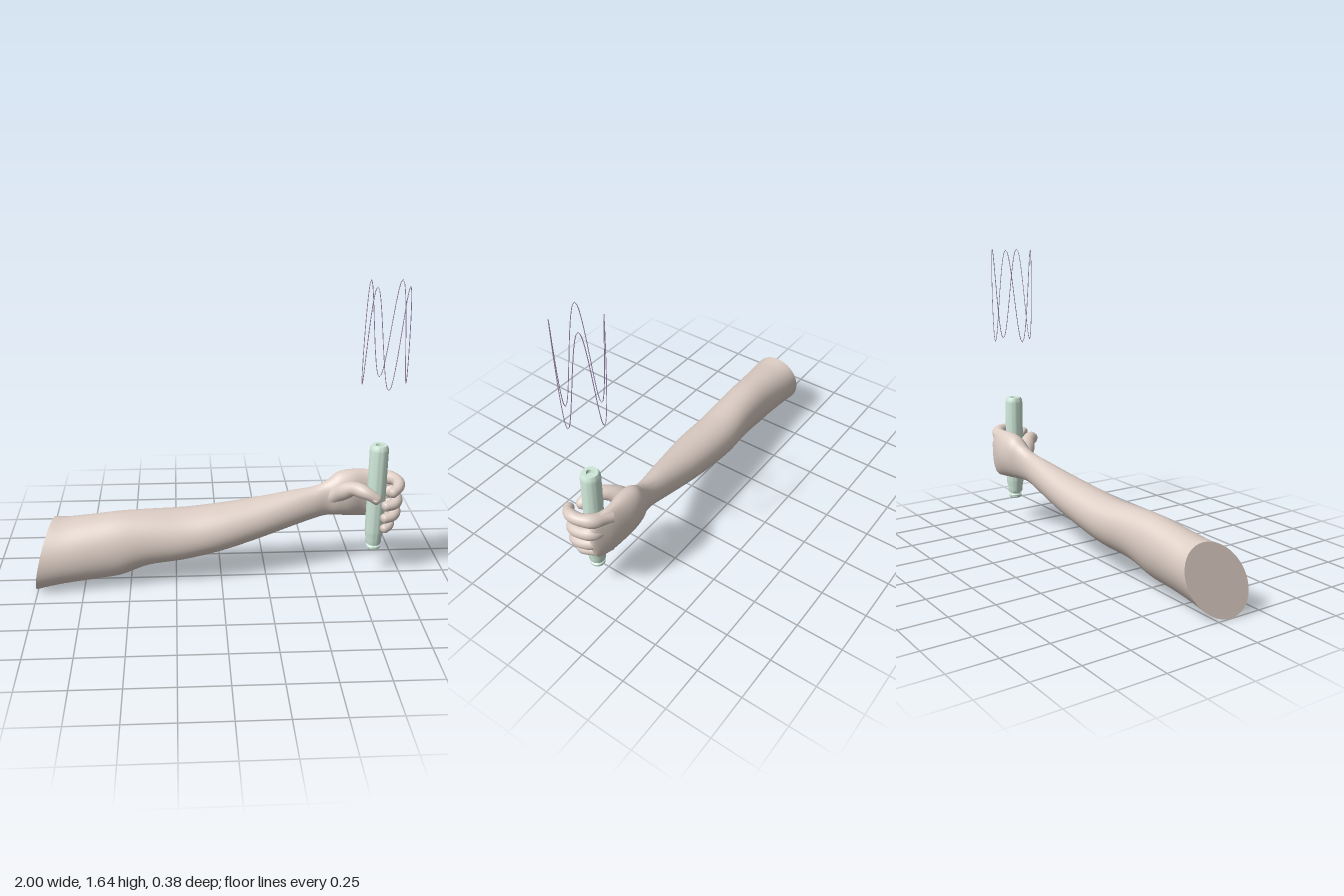
import * as THREE from 'three';
import { mergeVertices, toCreasedNormals } from 'three/addons/utils/BufferGeometryUtils.js';

const skin = new THREE.MeshStandardMaterial({ color: 0xdccdc4 });
const mint = new THREE.MeshStandardMaterial({ color: 0xcfe8d9 });
const wire = new THREE.MeshStandardMaterial({ color: 0xa890b4 });
const AXIS = { x: 0.85, z: -0.022 };
const V = (a) => new THREE.Vector3(...a);

function part(name, geometry, material) {
  const mesh = new THREE.Mesh(geometry, material);
  mesh.name = name;
  return mesh;
}

// Arm and palm cross-sections: x, top y, bottom y, back z, front z
const SECTIONS = [
  [-0.955, 0.37, 0.003, -0.142, 0.187],
  [-0.85, 0.368, 0.028, -0.138, 0.175],
  [-0.7, 0.382, 0.045, -0.13, 0.157],
  [-0.55, 0.398, 0.06, -0.13, 0.142],
  [-0.4, 0.4, 0.108, -0.137, 0.123],
  [-0.2, 0.398, 0.13, -0.16, 0.112],
  [0, 0.415, 0.17, -0.166, 0.095],
  [0.2, 0.441, 0.222, -0.165, 0.055],
  [0.4, 0.475, 0.28, -0.155, 0.005],
  [0.52, 0.495, 0.313, -0.146, -0.027],
  [0.59, 0.525, 0.323, -0.155, -0.043],
  [0.65, 0.568, 0.32, -0.182, -0.035],
  [0.72, 0.582, 0.313, -0.19, -0.035],
  [0.8, 0.582, 0.305, -0.178, -0.058],
  [0.87, 0.578, 0.297, -0.158, -0.066],
  [0.93, 0.565, 0.305, -0.128, -0.066],
  [0.955, 0.5, 0.37, -0.11, -0.08],
];

function armGeometry() {
  const ys = new THREE.CatmullRomCurve3(SECTIONS.map((s) => V([s[0], s[1], s[2]])), false, 'catmullrom', 0.5);
  const zs = new THREE.CatmullRomCurve3(SECTIONS.map((s) => V([s[0], s[3], s[4]])), false, 'catmullrom', 0.5);
  const rows = 80, sides = 40, pos = [], index = [];
  for (let i = 0; i <= rows; i++) {
    const u = i / rows, p = ys.getPoint(u), q = zs.getPoint(u);
    // The cut end slants and the upper arm leans; both fade out along the arm
    const slant = Math.max(0, 1 - u * 10), lean = -0.26 * (1 - u);
    for (let j = 0; j < sides; j++) {
      const t = (j / sides) * Math.PI * 2;
      const sy = Math.sin(t + lean), cz = Math.cos(t);
      pos.push(
        p.x + slant * (0.035 * sy - 0.026 * cz),
        (p.y + p.z) / 2 + ((p.y - p.z) / 2) * sy,
        (q.y + q.z) / 2 + ((q.z - q.y) / 2) * cz
      );
    }
  }
  const start = pos.length / 3, end = start + 1, last = rows * sides;
  pos.push(-0.955, 0.187, 0.022, 0.96, 0.435, -0.095);
  for (let j = 0; j < sides; j++) {
    const k = (j + 1) % sides;
    for (let i = 0; i < rows; i++) {
      const a = i * sides + j, b = i * sides + k;
      index.push(a, a + sides, b, b, a + sides, b + sides);
    }
    index.push(start, j, k, end, last + k, last + j);
  }
  const g = new THREE.BufferGeometry();
  g.setAttribute('position', new THREE.Float32BufferAttribute(pos, 3));
  g.setIndex(index);
  return toCreasedNormals(g, 0.9);
}

// A tapered tube with a rounded tip and slight bulges at the joints
function digitGeometry(curve, r0, r1) {
  const n = 36, m = 16;
  let g = new THREE.TubeGeometry(curve, n, 1, m, false);
  const pos = g.attributes.position, v = new THREE.Vector3();
  const length = curve.getLength();
  for (let i = 0; i <= n; i++) {
    // Rings crowd towards the tip so that it closes roundly
    const c = curve.getPointAt(i / n), u = i / n;
    let r = THREE.MathUtils.lerp(r0, r1, u) * (1 + 0.05 * Math.cos(u * Math.PI * 6));
    const left = (1 - u) * length;
    if (left < r1) r *= Math.sqrt(Math.max(0, 1 - (1 - left / r1) ** 2));
    for (let j = 0; j <= m; j++) {
      const k = i * (m + 1) + j;
      v.fromBufferAttribute(pos, k).sub(c).multiplyScalar(r).add(c);
      pos.setXYZ(k, v.x, v.y, v.z);
    }
  }
  g.deleteAttribute('uv');
  g.deleteAttribute('normal');
  g = mergeVertices(g, 1e-5);
  g.computeVertexNormals();
  return g;
}

function digit(name, points, r0, r1) {
  const group = new THREE.Group();
  group.name = name;
  const curve = new THREE.CatmullRomCurve3(points.map(V));
  group.add(part(name + 'Flesh', digitGeometry(curve, r0, r1), skin));
  // Nail: a flat oval on the side facing away from the handle
  const p = curve.getPointAt(0.9), along = curve.getTangentAt(0.9);
  const out = new THREE.Vector3(p.x - AXIS.x, 0, p.z - AXIS.z);
  out.addScaledVector(along, -out.dot(along)).normalize();
  const nail = part(name + 'Nail', new THREE.SphereGeometry(1, 14, 8), skin);
  const side = new THREE.Vector3().crossVectors(out, along);
  nail.quaternion.setFromRotationMatrix(new THREE.Matrix4().makeBasis(along, out, side));
  nail.scale.set(r1 * 0.65, r1 * 0.18, r1 * 0.55);
  nail.position.copy(p).addScaledVector(out, r1 * 0.9);
  group.add(nail);
  return group;
}

// Vertical grip with a stepped foot and a recess at each end
function handleGeometry() {
  const profile = [
    [0, 0.165], [0.014, 0.165], [0.016, 0.146], [0.032, 0.146], [0.038, 0.152],
    [0.038, 0.164], [0.031, 0.17], [0.031, 0.176], [0.041, 0.181], [0.043, 0.188],
    [0.043, 0.205], [0.05, 0.245], [0.051, 0.26], [0.051, 0.735], [0.049, 0.75],
    [0.04, 0.766], [0.02, 0.766], [0.017, 0.75], [0, 0.75],
  ].map(([r, y]) => new THREE.Vector2(r, y));
  return toCreasedNormals(new THREE.LatheGeometry(profile, 40), 0.6);
}

// Thin loop that rises and falls four times around the handle axis
class WaveLoop extends THREE.Curve {
  getPoint(t, target = new THREE.Vector3()) {
    const a = t * Math.PI * 2;
    return target.set(0.115 * Math.cos(a), 1.375 - 0.265 * Math.cos(4 * a), 0.115 * Math.sin(a));
  }
}

export function createModel() {
  const model = new THREE.Group();
  model.name = 'armHoldingHandle';
  model.add(part('armAndPalm', armGeometry(), skin));

  const hand = new THREE.Group();
  hand.name = 'digits';
  hand.add(
    digit('thumb', [[0.61, 0.43, -0.1], [0.665, 0.48, -0.05], [0.72, 0.52, 0.0], [0.785, 0.515, 0.06], [0.855, 0.473, 0.075]], 0.055, 0.028),
    digit('indexFinger', [[0.84, 0.53, -0.12], [0.925, 0.545, -0.09], [0.963, 0.55, -0.02], [0.95, 0.54, 0.045], [0.895, 0.52, 0.093]], 0.04, 0.027),
    digit('middleFinger', [[0.84, 0.46, -0.12], [0.935, 0.468, -0.085], [0.958, 0.458, -0.02], [0.935, 0.445, 0.045], [0.862, 0.438, 0.065]], 0.04, 0.028),
    digit('ringFinger', [[0.84, 0.39, -0.12], [0.93, 0.395, -0.08], [0.955, 0.385, -0.02], [0.93, 0.37, 0.04], [0.862, 0.362, 0.063]], 0.038, 0.027),
    digit('littleFinger', [[0.84, 0.33, -0.11], [0.905, 0.328, -0.08], [0.928, 0.312, -0.02], [0.913, 0.297, 0.022], [0.872, 0.288, 0.045]], 0.034, 0.025)
  );
  model.add(hand);

  const handle = part('handle', handleGeometry(), mint);
  handle.position.set(AXIS.x, 0, AXIS.z);
  const loop = part('waveLoop', new THREE.TubeGeometry(new WaveLoop(), 240, 0.002, 6, true), wire);
  loop.position.copy(handle.position);
  model.add(handle, loop);
  return model;
}
